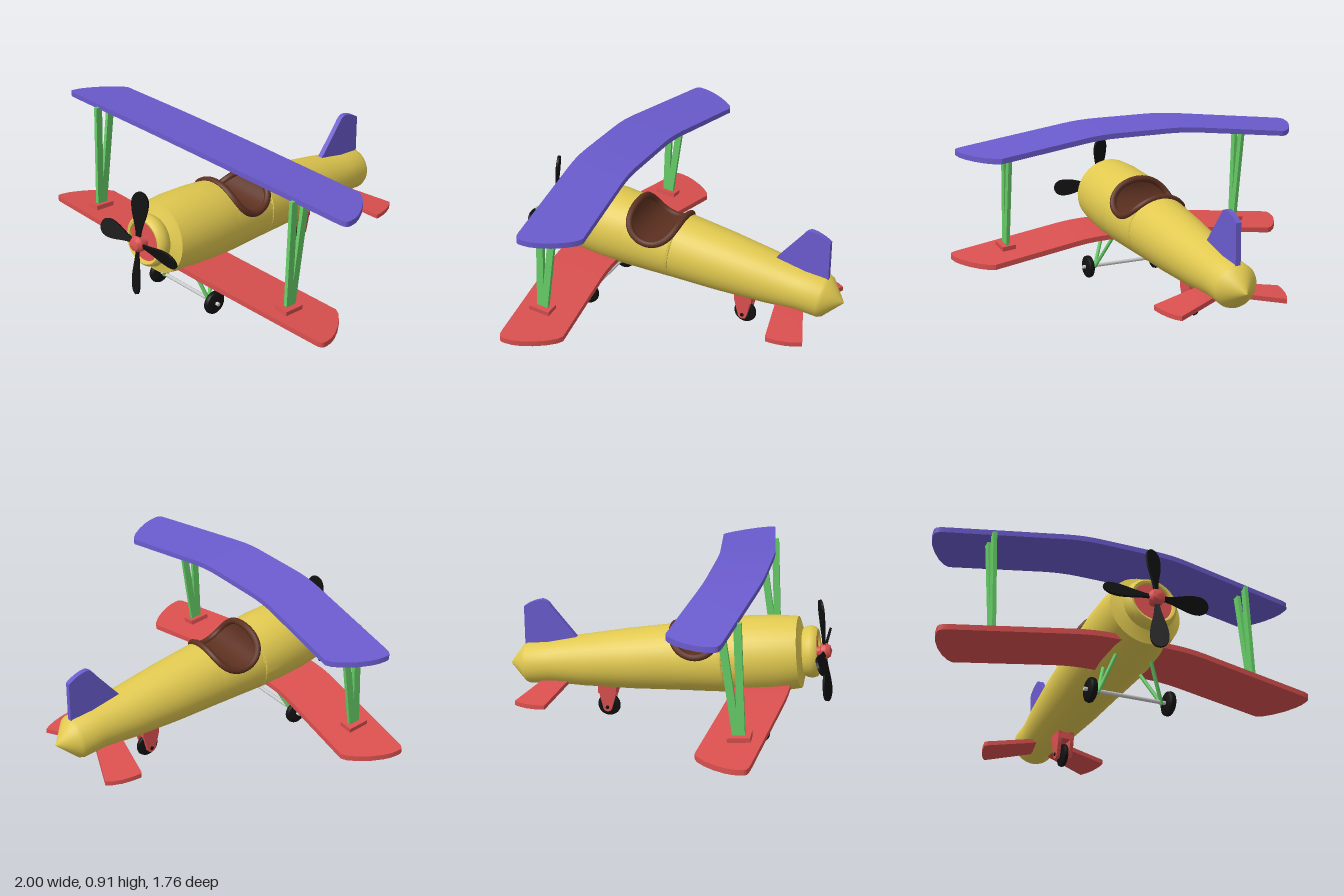
import * as THREE from 'three';
import { toCreasedNormals } from 'three/addons/utils/BufferGeometryUtils.js';

const V = (x, y, z) => new THREE.Vector3(x, y, z);
const paint = (color) => new THREE.MeshStandardMaterial({ color });
const yellow = paint(0xe0c84f), red = paint(0xd9504f), blue = paint(0x6a5bcd);
const green = paint(0x66cc66), brown = paint(0x5c3020), black = paint(0x111111), grey = paint(0xcccccc);
brown.side = THREE.DoubleSide;

function add(parent, name, geometry, material, position = V(0, 0, 0)) {
  const mesh = new THREE.Mesh(geometry, material);
  mesh.name = name;
  mesh.position.copy(position);
  parent.add(mesh);
  return mesh;
}

// Skin over rows of points that all have the same length
function loft(rows, crease = 0.6) {
  const n = rows[0].length, index = [];
  for (let i = 0; i < rows.length - 1; i++) {
    for (let j = 0; j < n - 1; j++) {
      const a = i * n + j, b = a + n;
      index.push(a, b, b + 1, a, b + 1, a + 1);
    }
  }
  const g = new THREE.BufferGeometry().setFromPoints(rows.flat());
  g.setIndex(index);
  return toCreasedNormals(g.toNonIndexed(), crease);
}

// Thin symmetric surface; half stations run from the middle out: [x, front z, rear z], height(x, z) is its top
function slab(half, height, thick) {
  const mirrored = half.filter((s) => s[0] > 0).map(([x, f, r]) => [-x, f, r]).reverse();
  const rows = [...mirrored, ...half].map(([x, f, r]) => {
    const yf = height(x, f), yr = height(x, r);
    return [V(x, yf, f), V(x, yr, r), V(x, yr - thick, r), V(x, yf - thick, f), V(x, yf, f)];
  });
  const cap = (row) => {
    const mid = row[0].clone().add(row[2]).multiplyScalar(0.5);
    return row.map(() => mid.clone());
  };
  return loft([cap(rows[0]), ...rows, cap(rows[rows.length - 1])], 0.5);
}

// Bar between two points, square when flat sizes are given, else round
function bar(parent, name, a, b, material, w, d) {
  const length = a.distanceTo(b);
  const g = d ? new THREE.BoxGeometry(w, length, d) : new THREE.CylinderGeometry(w, w, length, 10);
  const mesh = add(parent, name, g, material, a.clone().add(b).multiplyScalar(0.5));
  mesh.quaternion.setFromUnitVectors(V(0, 1, 0), b.clone().sub(a).normalize());
  return mesh;
}

const PITCH = 0.1155, SLOPE = 0.116;
// Fuselage radius along its own axis: [position, radius]
const profile = [[-0.88, 0], [-0.785, 0.108], [-0.765, 0.116], [-0.65, 0.116], [-0.47, 0.139], [-0.2, 0.163],
  [0.05, 0.178], [0.33, 0.197], [0.45, 0.203], [0.6, 0.2], [0.715, 0.188], [0.722, 0.16], [0.735, 0.122],
  [0.748, 0.131], [0.775, 0.137], [0.8, 0.13], [0.812, 0.117], [0.808, 0.105], [0.785, 0.1]];
function radiusAt(t) {
  const i = profile.findIndex((p) => p[0] >= t);
  const [t1, r1] = profile[i], [t0, r0] = profile[i - 1];
  return r0 + (r1 - r0) * (t - t0) / (t1 - t0);
}
// Cockpit cut: a crosswise cylinder
const CT = 0.19, CH = 0.19, CR = 0.135;

function makeFuselage() {
  const body = new THREE.Group();
  body.name = 'fuselage';
  body.position.y = 0.3665;
  body.rotation.x = -PITCH;

  const cut = [];
  for (let i = 0; i <= 20; i++) {
    const a = Math.PI * (1 + i / 20);
    const t = CT + CR * Math.cos(a);
    cut.push([t, radiusAt(t), CH + CR * Math.sin(a)]);
  }
  const stations = [...profile.filter((p) => p[0] < CT - CR), ...cut, ...profile.filter((p) => p[0] > CT + CR)];
  const skin = stations.map(([t, r, h]) => {
    const open = h === undefined ? 0 : Math.acos(Math.min(1, h / r));
    return Array.from({ length: 37 }, (_, j) => {
      const a = open + (2 * Math.PI - 2 * open) * j / 36;
      return V(r * Math.sin(a), r * Math.cos(a), t);
    });
  });
  add(body, 'fuselageSkin', loft(skin), yellow);

  // Cockpit floor and padded rim
  const floor = cut.map(([t, r, h]) => {
    const w = Math.sqrt(Math.max(0, r * r - h * h));
    return [V(-w, h, t), V(0, h, t), V(w, h, t)];
  });
  add(body, 'cockpitFloor', loft(floor), brown);
  const front = Math.asin((radiusAt(CT + CR) - CH) / CR);
  const rear = -Math.PI - Math.asin((radiusAt(CT - CR) - CH) / CR);
  const loop = [];
  for (let i = 0; i < 40; i++) {
    const s = 2 * Math.PI * i / 40;
    const a = (front + rear) / 2 + (front - rear) / 2 * Math.cos(s);
    const t = CT + CR * Math.cos(a), h = CH + CR * Math.sin(a);
    const x = Math.sqrt(Math.max(0, radiusAt(t) ** 2 - h * h));
    loop.push(V(x * Math.sign(Math.sin(s)), h, t));
  }
  add(body, 'cockpitRim', new THREE.TubeGeometry(new THREE.CatmullRomCurve3(loop, true), 100, 0.018, 10, true), brown);

  // Nose plate, hub and propeller
  add(body, 'nosePlate', new THREE.CylinderGeometry(0.102, 0.102, 0.02, 36).rotateX(Math.PI / 2), red, V(0, 0, 0.787));
  const hub = [[0, 0], [0.025, 0], [0.025, 0.03], [0.042, 0.035], [0.042, 0.06], [0.03, 0.08], [0, 0.09]];
  const hubShape = new THREE.LatheGeometry(hub.map(([r, y]) => new THREE.Vector2(r, y)), 20).rotateX(Math.PI / 2);
  add(body, 'propellerHub', toCreasedNormals(hubShape.toNonIndexed(), 0.5), red, V(0, 0, 0.79));
  const outline = new THREE.Shape();
  outline.moveTo(-0.012, 0.03);
  outline.bezierCurveTo(-0.012, 0.1, -0.046, 0.15, -0.046, 0.22);
  outline.bezierCurveTo(-0.046, 0.3, 0.046, 0.3, 0.046, 0.22);
  outline.bezierCurveTo(0.046, 0.15, 0.012, 0.1, 0.012, 0.03);
  const blade = new THREE.ExtrudeGeometry(outline, { depth: 0.012, bevelEnabled: false, curveSegments: 10 });
  blade.translate(0, 0, -0.006).rotateY(0.35);
  for (let i = 0; i < 4; i++) add(body, 'propellerBlade', blade, black, V(0, 0, 0.84)).rotation.z = i * Math.PI / 2;
  return body;
}

// Swept, drooping wing with rounded tips: [x, trailing edge cut-in, leading edge cut-in]
const sweep = (x) => {
  const e = Math.abs(x) - 0.15;
  return e < 0 ? 0 : e < 0.2 ? 0.3125 * e * e : 0.125 * (e - 0.1);
};
const wingStations = [[0, 0], [0.15, 0], [0.2, 0], [0.25, 0], [0.3, 0], [0.35, 0], [0.84, 0], [0.87, 0.02],
  [0.91, 0.065], [0.95, 0.125], [0.98, 0.185, 0.002], [0.994, 0.225, 0.008], [1, 0.265, 0.018]];
function wing() {
  const half = wingStations.map(([x, r, f = 0]) => [x, 0.535 - sweep(x) - f, 0.235 - sweep(x) + r]);
  return slab(half, (x, z) => 0.912 + SLOPE * (z + sweep(x) - 0.535) - 0.83 * sweep(x), 0.028);
}

function makeGear() {
  const gear = new THREE.Group();
  gear.name = 'landingGear';
  const tyre = [[0, -0.018], [0.05, -0.018], [0.06, -0.012], [0.063, 0], [0.06, 0.012], [0.05, 0.018], [0, 0.018]];
  const wheel = toCreasedNormals(new THREE.LatheGeometry(tyre.map(([r, y]) => new THREE.Vector2(r, y)), 32)
    .rotateZ(Math.PI / 2).toNonIndexed(), 0.7);
  bar(gear, 'axle', V(-0.245, 0.068, 0.525), V(0.245, 0.068, 0.525), grey, 0.01);
  for (const s of [-1, 1]) {
    add(gear, 'frontWheel', wheel, black, V(s * 0.21, 0.067, 0.525));
    for (const z of [0.575, 0.42]) bar(gear, 'gearLeg', V(s * 0.172, 0.058, 0.525), V(s * 0.09, 0.27, z), green, 0.01);
  }

  // Rear wheel held in a fork
  const rearWheel = add(gear, 'rearWheel', wheel, black, V(0, 0.063, -0.323));
  rearWheel.scale.x = 0.75;
  const plate = new THREE.Shape();
  plate.moveTo(0.052, 0.13);
  plate.lineTo(-0.055, 0.13);
  plate.lineTo(-0.04, 0.06);
  plate.lineTo(-0.022, -0.012);
  plate.absarc(0, 0, 0.025, Math.PI * 1.15, Math.PI * 1.85, false);
  plate.lineTo(0.042, 0.06);
  const side = new THREE.ExtrudeGeometry(plate, { depth: 0.02, bevelEnabled: false }).rotateY(-Math.PI / 2);
  for (const x of [-0.025, 0.045]) add(gear, 'rearFork', side, red, V(x, 0.063, -0.323));
  add(gear, 'rearForkTop', new THREE.BoxGeometry(0.09, 0.05, 0.1), red, V(0, 0.167, -0.324));
  bar(gear, 'rearAxle', V(-0.049, 0.063, -0.323), V(0.049, 0.063, -0.323), black, 0.01);
  return gear;
}

export function createModel() {
  const plane = new THREE.Group();
  plane.name = 'biplane';
  plane.add(makeFuselage(), makeGear());
  add(plane, 'upperWing', wing(), blue);
  add(plane, 'lowerWing', wing(), red, V(0, -0.597, 0.142));

  // V-shaped wing struts on their pads
  for (const s of [-1, 1]) {
    const x = s * 0.71;
    add(plane, 'strutPad', new THREE.BoxGeometry(0.075, 0.03, 0.115), red, V(x, 0.263, 0.5)).rotation.set(-PITCH, 0, -s * 0.1);
    bar(plane, 'frontStrut', V(x, 0.26, 0.508), V(x, 0.846, 0.478), green, 0.02, 0.038);
    bar(plane, 'rearStrut', V(x, 0.26, 0.485), V(x, 0.835, 0.395), green, 0.02, 0.038);
  }

  // Tail surfaces
  const tail = [[0, -0.51, -0.65], [0.295, -0.572, -0.765], [0.315, -0.576, -0.735], [0.335, -0.58, -0.69],
    [0.348, -0.583, -0.64], [0.354, -0.587, -0.6]];
  add(plane, 'tailplane', slab(tail, (x, z) => 0.215 + SLOPE * (z + 0.55) - 0.12 * (Math.abs(x) - 0.12), 0.024), red);
  const fin = new THREE.Shape();
  fin.moveTo(0.45, 0.4);
  fin.lineTo(0.5, 0.45);
  fin.lineTo(0.63, 0.605);
  fin.quadraticCurveTo(0.655, 0.645, 0.685, 0.645);
  fin.quadraticCurveTo(0.74, 0.635, 0.785, 0.6);
  fin.lineTo(0.785, 0.33);
  const finShape = new THREE.ExtrudeGeometry(fin, { depth: 0.028, bevelEnabled: false }).rotateY(Math.PI / 2);
  add(plane, 'fin', finShape.translate(-0.014, 0, 0), blue);
  return plane;
}
